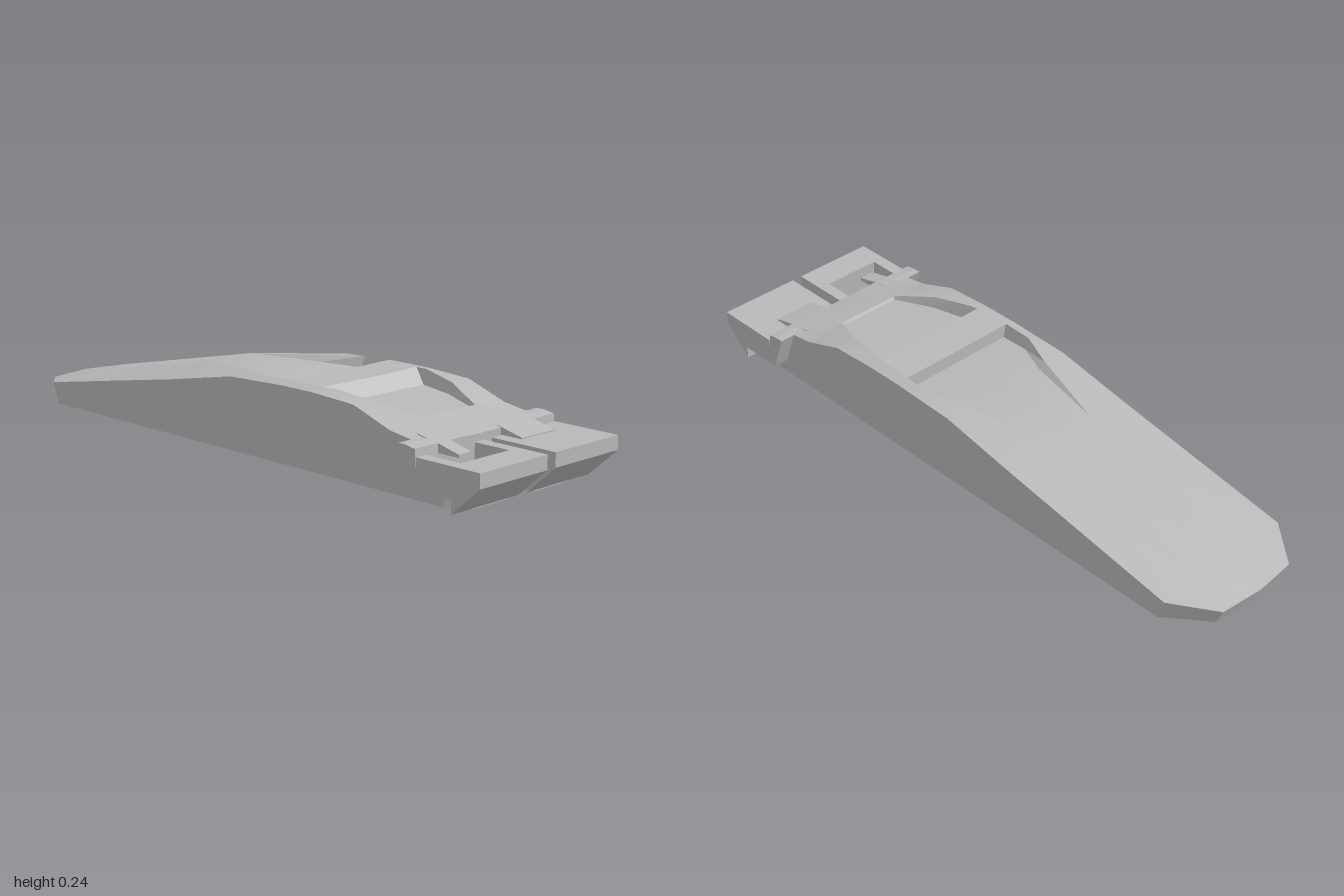
import * as THREE from 'three';
import { toCreasedNormals } from 'three/addons/utils/BufferGeometryUtils.js';

const grey = new THREE.MeshStandardMaterial({ color: 0xb8b8b8, side: THREE.DoubleSide });
grey.name = 'bodyGrey';

// Cross-sections along the body:
// x, half width, edge height, lip z, lip height, floor z, floor height, centre height
const sections = [
  [-1.0, 0.14, 0.05, 0.08, 0.052, 0.04, 0.053, 0.054],
  [-0.86, 0.24, 0.067, 0.10, 0.080, 0.06, 0.083, 0.084],
  [-0.26, 0.24, 0.172, 0.085, 0.206, 0.08, 0.207, 0.21],
  [0.0, 0.24, 0.222, 0.16, 0.228, 0.138, 0.210, 0.212],
  [0.115, 0.24, 0.226, 0.205, 0.236, 0.19, 0.202, 0.202],
  [0.215, 0.24, 0.23, 0.205, 0.240, 0.195, 0.195, 0.195],
  [0.215, 0.24, 0.23, 0.205, 0.240, 0.195, 0.239, 0.237],
  [0.34, 0.24, 0.23, 0.2, 0.240, 0.19, 0.239, 0.237],
  [0.38, 0.24, 0.228, 0.19, 0.239, 0.178, 0.194, 0.194],
  [0.5, 0.24, 0.222, 0.166, 0.222, 0.155, 0.188, 0.188],
  [0.63, 0.24, 0.177, 0.112, 0.190, 0.106, 0.178, 0.178],
  [0.635, 0.24, 0.175, 0.112, 0.189, 0.106, 0.187, 0.187],
  [0.7, 0.24, 0.165, 0.1, 0.174, 0.06, 0.173, 0.173],
  [0.775, 0.24, 0.156, 0.1, 0.157, 0.06, 0.155, 0.155],
];

function mesh(name, geometry) {
  const m = new THREE.Mesh(geometry, grey);
  m.name = name;
  return m;
}

// Body skin lofted through the sections, open underneath
function bodyGeometry() {
  const rings = sections.map(([x, w, yE, c, yR, ci, yF, yC], i) => {
    const half = [[w, 0], [w, yE], [c, yR], [ci, yF]];
    const ring = [...half, [0, yC], ...half.map(([z, y]) => [-z, y]).reverse()];
    return ring.map(([z, y]) => {
      const nose = i === 0 ? 0.015 * Math.abs(z) / 0.14 : 0;
      const rake = i < 2 && y === 0 ? 0.022 : 0;
      return [x + nose + rake, y, z];
    });
  });
  const pos = [];
  const tri = (...pts) => pts.forEach((p) => pos.push(...p));
  for (let i = 0; i < rings.length - 1; i++) {
    for (let j = 0; j < 8; j++) {
      const a = rings[i][j], b = rings[i + 1][j], c = rings[i + 1][j + 1], d = rings[i][j + 1];
      tri(a, b, c);
      tri(a, c, d);
    }
  }
  // Nose and rear faces fan out from the bottom centre
  const last = rings[rings.length - 1];
  for (let j = 0; j < 8; j++) {
    tri([-0.978, 0, 0], rings[0][j], rings[0][j + 1]);
    tri([0.775, 0, 0], last[j + 1], last[j]);
  }
  const g = new THREE.BufferGeometry();
  g.setAttribute('position', new THREE.Float32BufferAttribute(pos, 3));
  return toCreasedNormals(g, 0.3);
}

const shapeOf = (pts) => new THREE.Shape(pts.map(([x, y]) => new THREE.Vector2(x, y)));

// Side profile (x, y) extruded from z0 to z1
function slab(name, pts, z0, z1) {
  const g = new THREE.ExtrudeGeometry(shapeOf(pts), { depth: z1 - z0, bevelEnabled: false });
  g.translate(0, 0, z0);
  return mesh(name, g);
}

export function createModel() {
  const model = new THREE.Group();
  model.name = 'model';
  model.add(mesh('body', bodyGeometry()));

  // Underside with two round holes
  const holeXs = [-0.35, 0.0], r = 0.022;
  const under = shapeOf([
    [-0.978, 0], [-0.963, -0.14], [-0.838, -0.24], [0.775, -0.24],
    [0.775, 0.24], [-0.838, 0.24], [-0.963, 0.14],
  ]);
  holeXs.forEach((x) => under.holes.push(new THREE.Path().absarc(x, 0, r, 0, Math.PI * 2, true)));
  const floor = new THREE.ShapeGeometry(under, 10);
  floor.rotateX(Math.PI / 2);
  model.add(mesh('underside', floor));
  holeXs.forEach((x) => {
    const wall = mesh('holeWall', new THREE.CylinderGeometry(r, r, 0.06, 20, 1, true));
    wall.position.set(x, 0.03, 0);
    const cap = mesh('holeCap', new THREE.CircleGeometry(r, 20).rotateX(Math.PI / 2));
    cap.position.set(x, 0.06, 0);
    model.add(wall, cap);
  });

  const block = [[0.78, 0.135], [0.78, 0.045], [0.905, 0.045], [0.905, 0.005], [1, 0.092], [1, 0.135]];
  const blockEnd = [[0.9, 0.135], [0.905, 0.005], [1, 0.092], [1, 0.135]];
  const flare = [[0.74, 0.163], [0.715, 0.163], [0.76, 0.045], [0.785, 0.045], [0.775, 0.157]];
  const fairing = [[0.7, 0.17], [0.7, 0.13], [0.85, 0.13], [0.85, 0.139], [0.775, 0.157]];

  for (const s of [1, -1]) {
    const span = (name, pts, a, b) => slab(name, pts, Math.min(s * a, s * b), Math.max(s * a, s * b));
    const side = new THREE.Group();
    side.name = s > 0 ? 'frontTailBlock' : 'backTailBlock';
    // Block with a pocket between two cheeks
    side.add(span('innerCheek', block, 0.017, 0.055));
    side.add(span('outerCheek', block, 0.25, 0.29));
    side.add(span('blockEnd', blockEnd, 0.055, 0.25));
    if (s < 0) {
      side.add(span('pocketCover', [[0.78, 0.135], [0.78, 0.125], [0.9, 0.125], [0.9, 0.135]], 0.055, 0.25));
    }
    // Flared shoulder and its blend into the body
    side.add(span('shoulder', flare, 0.2, 0.29));
    side.add(span('fairing', fairing, s > 0 ? 0.15 : 0.06, 0.2));

    // Low tail floor with a cut outer corner
    const tail = shapeOf([
      [0.77, s * 0.055], [0.9, s * 0.055], [0.9, s * 0.2], [0.835, s * 0.24], [0.77, s * 0.24],
    ]);
    const g = new THREE.ExtrudeGeometry(tail, { depth: 0.04, bevelEnabled: false });
    g.rotateX(Math.PI / 2);
    g.translate(0, 0.04, 0);
    side.add(mesh('tailFloor', g));
    model.add(side);
  }
  return model;
}
